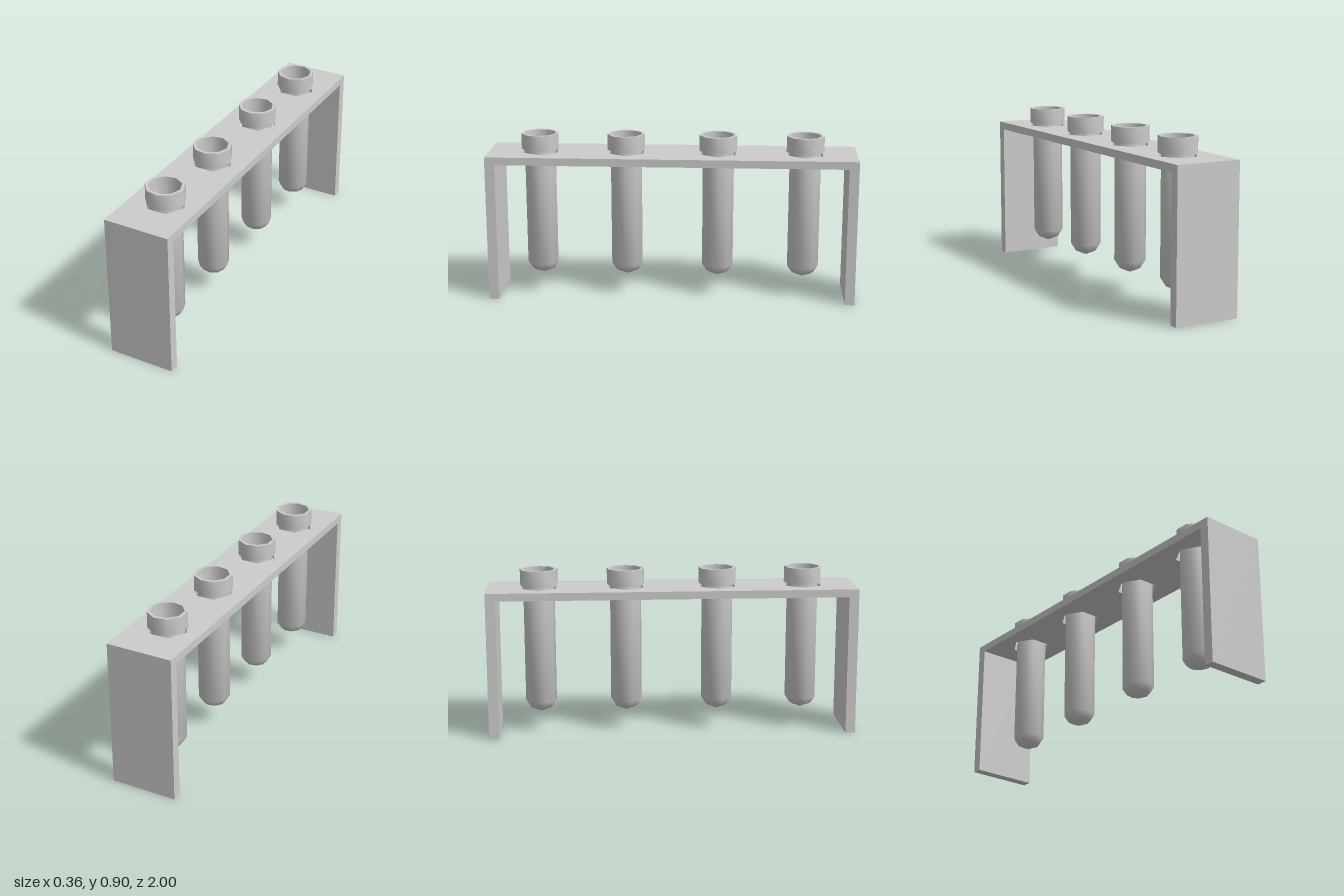
import * as THREE from 'three';
import { toCreasedNormals } from 'three/addons/utils/BufferGeometryUtils.js';

const WIDTH = 0.36, HEIGHT = 0.8, PLATE = 0.042, LEG = 0.053;
const TUBE_Z = [0.72, 0.25, -0.25, -0.72];

export function createModel() {
  const model = new THREE.Group();
  model.name = 'testTubeRack';
  const grey = new THREE.MeshStandardMaterial({ color: 0xcccccc });
  grey.name = 'light grey';

  const add = (name, geometry) => {
    const mesh = new THREE.Mesh(geometry, grey);
    mesh.name = name;
    model.add(mesh);
    return mesh;
  };

  // Top plate with a hexagonal hole for each tube
  const half = 1 - LEG;
  const shape = new THREE.Shape([
    new THREE.Vector2(-WIDTH / 2, -half), new THREE.Vector2(WIDTH / 2, -half),
    new THREE.Vector2(WIDTH / 2, half), new THREE.Vector2(-WIDTH / 2, half),
  ]);
  for (const z of TUBE_Z) {
    const corners = [];
    for (let i = 0; i < 6; i++) {
      const a = -i * Math.PI / 3;
      corners.push(new THREE.Vector2(0.108 * Math.cos(a), z + 0.108 * Math.sin(a)));
    }
    shape.holes.push(new THREE.Path(corners));
  }
  const plate = new THREE.ExtrudeGeometry(shape, { depth: PLATE, bevelEnabled: false });
  plate.rotateX(Math.PI / 2).translate(0, HEIGHT, 0);
  add('topPlate', plate);

  // End legs
  for (const side of [1, -1]) {
    const leg = add(side > 0 ? 'frontLeg' : 'backLeg', new THREE.BoxGeometry(WIDTH, HEIGHT, LEG));
    leg.position.set(0, HEIGHT / 2, side * (1 - LEG / 2));
  }

  // Hollow nine-sided tubes: outer wall from the tip up, lip, inner wall down
  const profile = [
    [0, 0.105], [0.062, 0.132], [0.086, 0.17], [0.086, 0.813],
    [0.103, 0.813], [0.103, 0.9], [0.086, 0.9], [0.083, 0.813],
    [0.083, 0.175], [0.06, 0.139], [0, 0.112],
  ].map(([r, y]) => new THREE.Vector2(r, y));
  const tube = toCreasedNormals(new THREE.LatheGeometry(profile, 9), 0.9);
  tube.rotateY(Math.PI / 2);
  TUBE_Z.forEach((z, i) => {
    add('testTube' + (i + 1), tube).position.z = z;
  });

  return model;
}
